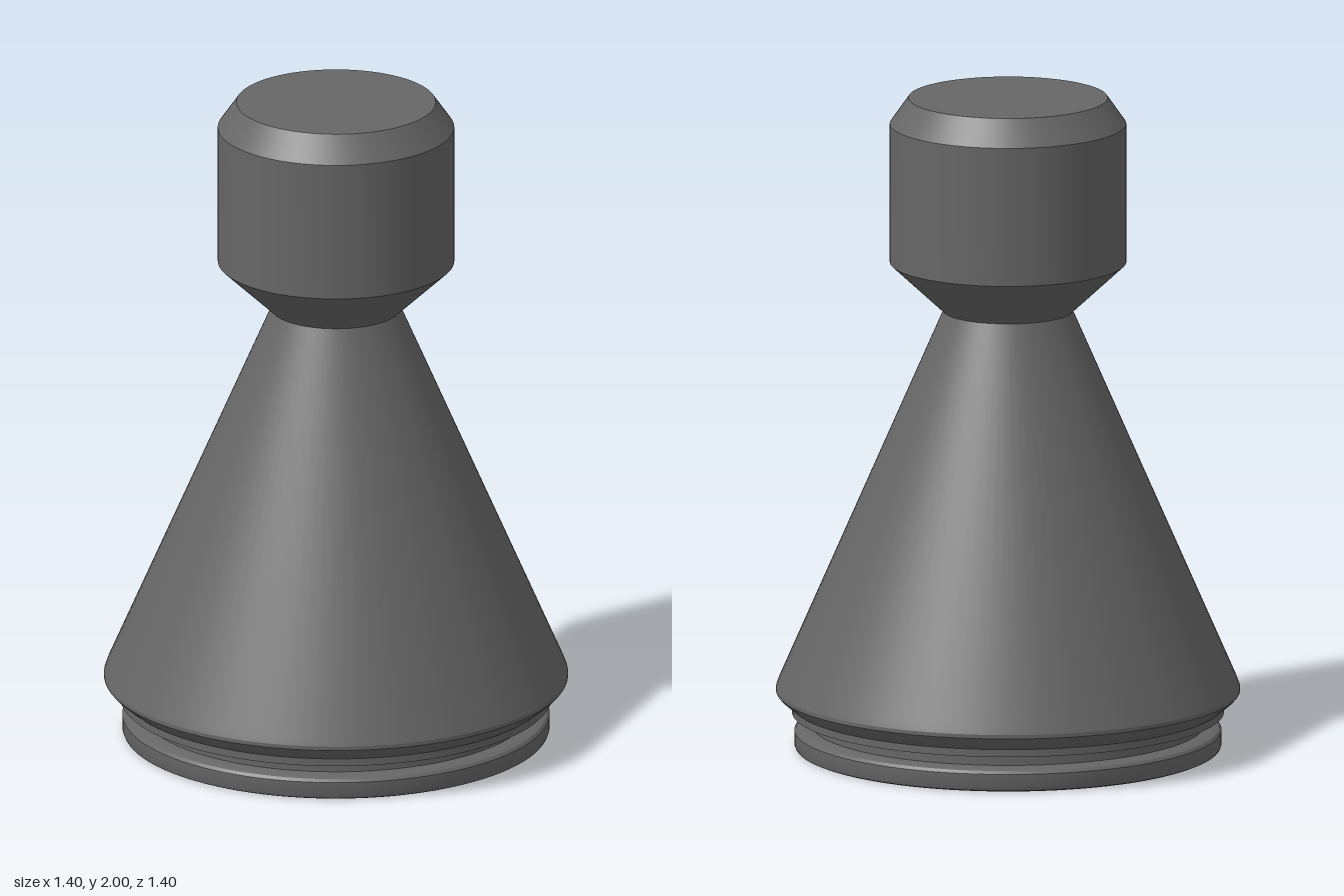
import * as THREE from 'three';
import { toCreasedNormals } from 'three/addons/utils/BufferGeometryUtils.js';

const SEGMENTS = 96;

export function createModel() {
  const group = new THREE.Group();
  const grey = new THREE.MeshStandardMaterial({ color: 0x666667 });
  grey.name = 'dark grey';

  // Turned part from [radius, height] points listed bottom to top
  function turned(name, points) {
    const profile = points.map(([r, y]) => new THREE.Vector2(r, y));
    const geometry = toCreasedNormals(new THREE.LatheGeometry(profile, SEGMENTS), 0.4);
    const mesh = new THREE.Mesh(geometry, grey);
    mesh.name = name;
    group.add(mesh);
  }

  // Round foot with softened rims
  turned('foot', [
    [0, 0], [0.63, 0], [0.639, 0.004], [0.643, 0.014],
    [0.643, 0.055], [0.636, 0.064], [0.62, 0.07], [0.592, 0.072],
  ]);

  // Recessed groove above the foot
  turned('groove', [[0.592, 0.072], [0.592, 0.108]]);

  // Stepped collar flaring out to the widest edge
  turned('collar', [
    [0.592, 0.108], [0.65, 0.11], [0.65, 0.133], [0.657, 0.138],
    [0.69, 0.166], [0.698, 0.176], [0.698, 0.188],
  ]);

  // Tapered body
  turned('body', [[0.698, 0.188], [0.69, 0.21], [0.195, 1.345]]);

  // Head with a flared underside and a chamfered top
  turned('head', [
    [0.195, 1.345], [0.356, 1.495], [0.356, 1.92], [0.3, 2], [0, 2],
  ]);

  return group;
}
